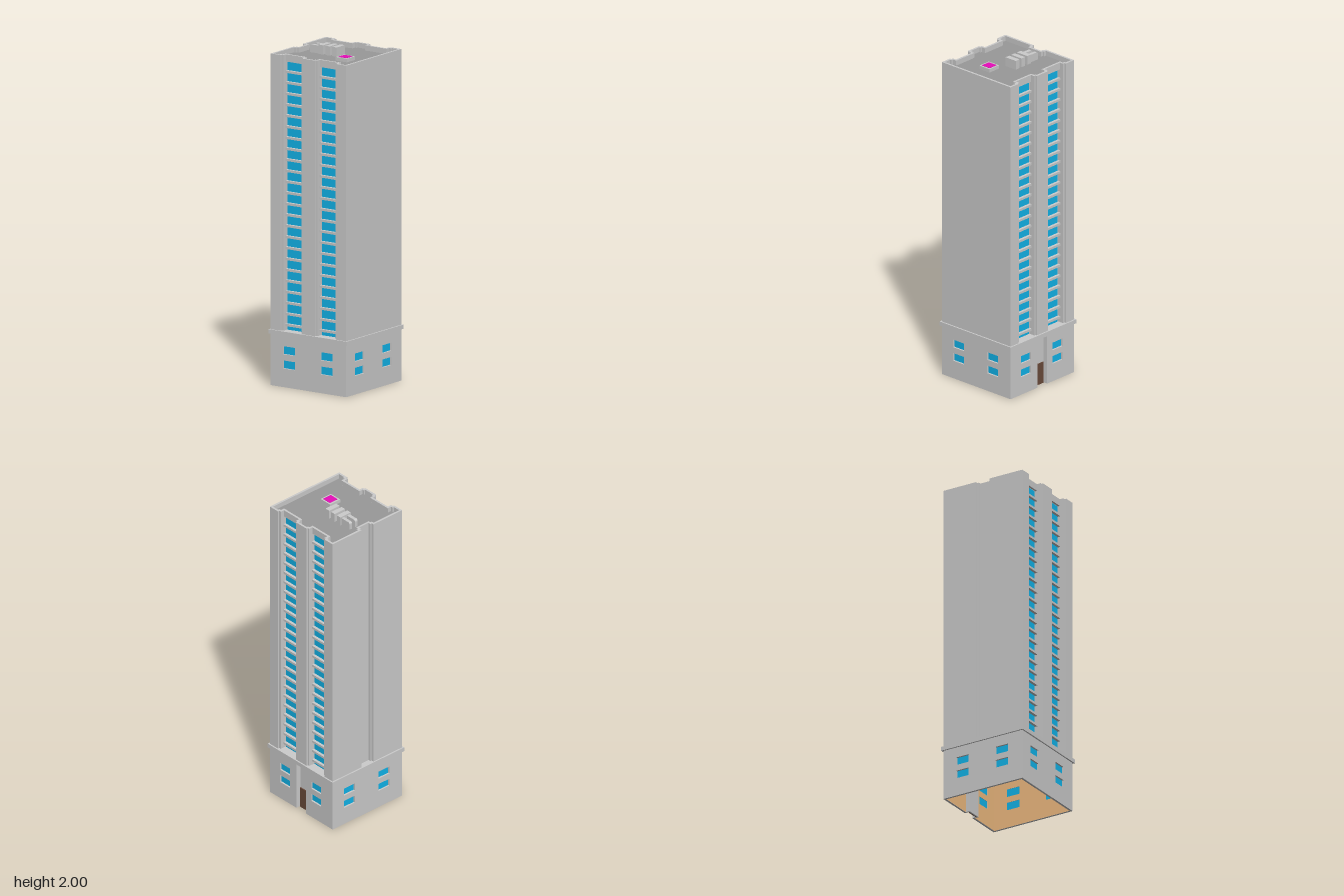
import * as THREE from 'three';

const mat = (color, side = THREE.FrontSide) =>
  new THREE.MeshStandardMaterial({ color, side, flatShading: true });

const grey = mat(0xcccccc);
const roofGrey = mat(0x999999);
const glass = mat(0x11b4ea, THREE.DoubleSide);
const doorBrown = mat(0x6a4a3a);
const ceilingBrown = mat(0x80603f);
const tan = mat(0xf0bb80, THREE.BackSide);
const magenta = mat(0xe60db8);

const HALF = 0.272, BASE_TOP = 0.308, CORNICE_TOP = 0.333;
const ROOF = 1.945, TOP = 1.975;

function add(parent, name, geometry, material) {
  const mesh = new THREE.Mesh(geometry, material);
  mesh.name = name;
  parent.add(mesh);
  return mesh;
}

// Box given by its minimum and maximum corners
function box(parent, name, [x0, y0, z0], [x1, y1, z1], material = grey) {
  const mesh = add(parent, name, new THREE.BoxGeometry(x1 - x0, y1 - y0, z1 - z0), material);
  mesh.position.set((x0 + x1) / 2, (y0 + y1) / 2, (z0 + z1) / 2);
  return mesh;
}

const vec = (points) => points.map(([x, y]) => new THREE.Vector2(x, y));

// Tower plan: two stepped recesses per side, one stepped groove at the back.
// t insets the whole outline, recess is the x of the window recess.
function towerPlan(t, recess) {
  const h = HALF - t;
  const bay = [
    [h, 0.047 - t], [0.262 - t, 0.047 - t], [0.262 - t, 0.058 - t], [recess - t, 0.058 - t],
    [recess - t, 0.188 + t], [0.262 - t, 0.188 + t], [0.262 - t, 0.202 + t], [h, 0.202 + t],
  ];
  const flipY = (p) => p.map(([x, y]) => [x, -y]).reverse();
  const flipX = (p) => p.map(([x, y]) => [-x, y]).reverse();
  const side = [[h, -h], ...flipY(bay), ...bay, [h, h]];
  const groove = [
    [0.047 + t, h], [0.047 + t, 0.257 - t], [0.037 + t, 0.257 - t], [0.037 + t, 0.241 - t],
  ];
  return vec([...side, ...groove, ...flipX(groove), ...flipX(side)]);
}

function extrudeUp(shape, y0, y1) {
  const g = new THREE.ExtrudeGeometry(shape, { depth: y1 - y0, bevelEnabled: false });
  return g.rotateX(-Math.PI / 2).translate(0, y0, 0);
}

// One wall of the base with four window openings and, optionally, a door niche
function baseWall(name, angle, hasDoor) {
  const wall = new THREE.Group();
  wall.name = name;
  const thick = 0.013, n = 0.045, nicheTop = 0.3;
  const niche = hasDoor ? [[n, 0], [n, nicheTop], [-n, nicheTop], [-n, 0]] : [];
  const shape = new THREE.Shape(vec(
    [[-HALF, 0], [-HALF, BASE_TOP], [HALF, BASE_TOP], [HALF, 0], ...niche]));
  for (const x of [-0.14, 0.13]) {
    for (const y of [0.135, 0.22]) {
      const w = 0.043, h = 0.024;
      shape.holes.push(new THREE.Path(vec(
        [[x - w, y - h], [x + w, y - h], [x + w, y + h], [x - w, y + h]])));
      add(wall, 'baseWindow', new THREE.PlaneGeometry(2 * w, 2 * h), glass)
        .position.set(x, y, HALF - thick + 0.002);
    }
  }
  add(wall, 'outerWall', new THREE.ExtrudeGeometry(shape, { depth: thick, bevelEnabled: false }), grey)
    .position.z = HALF - thick;
  add(wall, 'innerWall', new THREE.ShapeGeometry(shape), tan).position.z = HALF - thick - 0.001;

  if (hasDoor) {
    const back = HALF - 0.03;
    box(wall, 'nicheBack', [-n, 0, back - 0.008], [n, nicheTop, back]);
    for (const s of [-1, 1]) {
      box(wall, 'nicheSide', [s * n - 0.004, 0, back - 0.008], [s * n + 0.004, nicheTop, HALF - 0.001]);
    }
    box(wall, 'nicheTop', [-n, nicheTop, back - 0.008], [n, nicheTop + 0.007, HALF - 0.001]);
    box(wall, 'door', [-0.037, 0, back - 0.002], [0.037, 0.132, back + 0.006], doorBrown);
  }
  wall.rotation.y = angle;
  return wall;
}

// Column of windows divided by ledges; s is the side, zc the centre of the recess
function windowBay(s, zc) {
  const bay = new THREE.Group();
  bay.name = 'windowBay';
  const half = 0.065, pitch = 0.0656;
  const pane = box(bay, 'windowStrip', [0.215, CORNICE_TOP, zc - half + 0.004],
    [0.2235, 1.93, zc + half - 0.004], glass);
  pane.position.x *= s;
  for (let i = 1; i <= 24; i++) {
    const y = 1.938 - i * pitch;
    const ledge = box(bay, 'ledge', [0.215, y - 0.007, zc - half], [0.24, y + 0.007, zc + half]);
    ledge.position.x *= s;
  }
  return bay;
}

// Duct that runs back from the vent and curves down onto the roof
function roofDuct(x0, x1) {
  const top = 1.992;
  const profile = new THREE.Shape();
  profile.moveTo(0.1, ROOF);
  profile.lineTo(0.188, ROOF);
  profile.lineTo(0.188, top - 0.014);
  profile.quadraticCurveTo(0.188, top, 0.174, top);
  profile.lineTo(0.1, top);
  const g = new THREE.ExtrudeGeometry(profile, { depth: x1 - x0, bevelEnabled: false, curveSegments: 4 });
  return g.rotateY(Math.PI / 2).translate(x0, 0, 0);
}

export function createModel() {
  const model = new THREE.Group();
  model.name = 'apartmentTower';

  // Hollow base
  ['frontWall', 'leftWall', 'backWall', 'rightWall'].forEach((name, i) =>
    model.add(baseWall(name, i * Math.PI / 2, i === 1)));
  const c = 0.281;
  box(model, 'cornice', [-c, BASE_TOP, -c], [c, CORNICE_TOP, c]);
  add(model, 'ceiling', new THREE.PlaneGeometry(0.53, 0.53).rotateX(Math.PI / 2), ceilingBrown)
    .position.y = BASE_TOP - 0.002;

  // Tower shaft with a darker roof, and the parapet around it
  add(model, 'towerShaft', extrudeUp(new THREE.Shape(towerPlan(0, 0.222)), CORNICE_TOP, ROOF),
    [roofGrey, grey]);
  // Roof slab reaches out over the recesses to meet the parapet
  const parapet = new THREE.Shape(towerPlan(0, 0.237));
  parapet.holes.push(new THREE.Path(towerPlan(0.013, 0.237)));
  add(model, 'parapet', extrudeUp(parapet, 1.932, TOP), grey);

  // Window bays on both sides
  for (const s of [-1, 1]) {
    for (const zc of [-0.123, 0.123]) model.add(windowBay(s, zc));
  }

  // Roof hatch
  box(model, 'hatchFrame', [-0.092, ROOF, 0.065], [-0.011, 1.966, 0.146]);
  box(model, 'hatchPanel', [-0.081, ROOF, 0.076], [-0.021, 1.968, 0.135], magenta);

  // Roof vents and ducts
  for (const [z0, z1] of [[-0.118, -0.087], [-0.068, -0.038], [-0.021, 0.011]]) {
    box(model, 'roofVent', [-0.009, ROOF, z0], [0.072, 2, z1]);
  }
  for (const [x0, x1] of [[0, 0.021], [0.043, 0.063]]) {
    add(model, 'roofDuct', roofDuct(x0, x1), grey);
  }
  return model;
}
